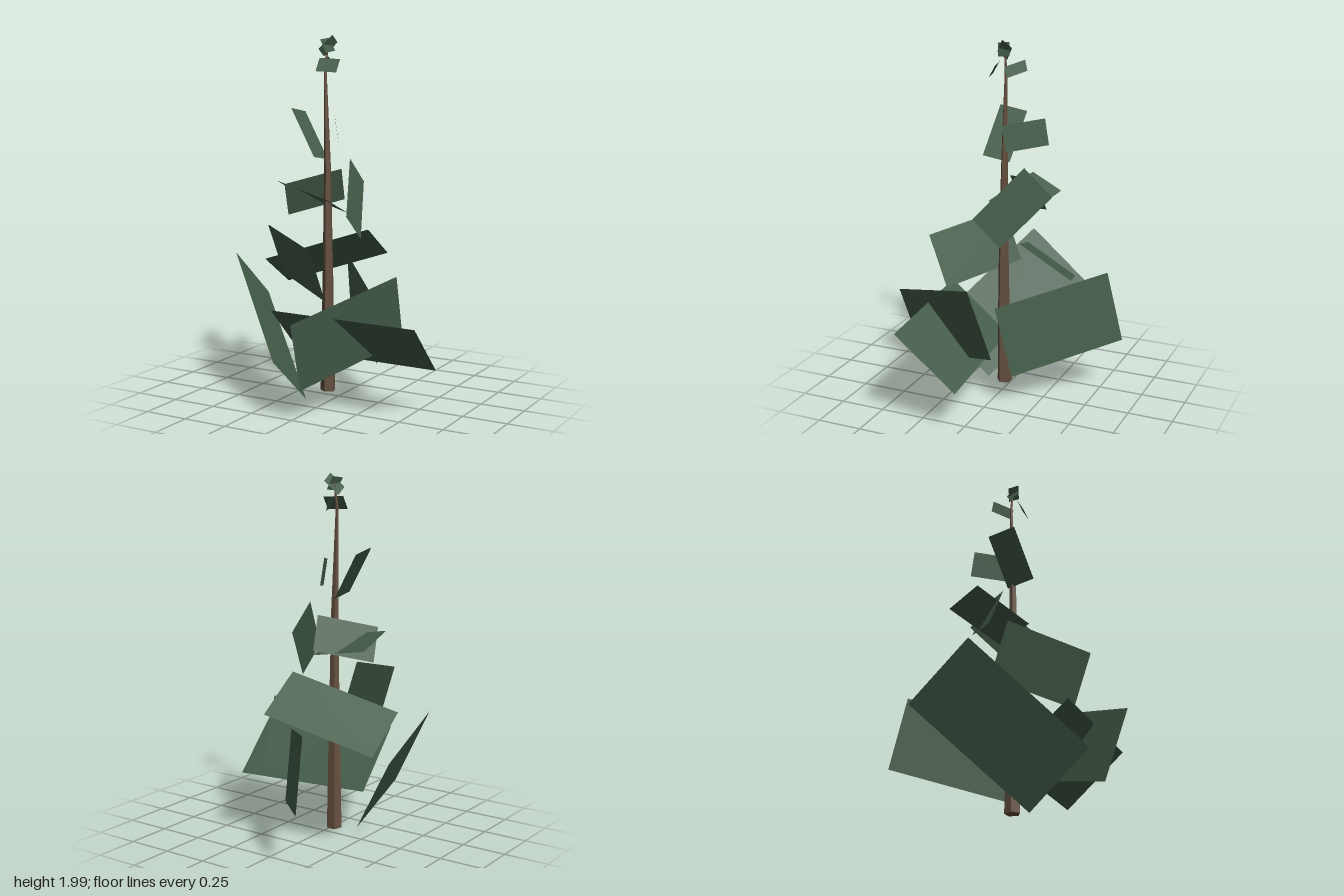
import * as THREE from 'three';

// Each leaf card is three consecutive corners of a rectangle; the fourth follows.
const tiers = {
  lowerFoliage: [
    [[-0.63, 0.78, 0.07], [-0.125, 0.30, 0.48], [-0.125, 0.01, 0.143]],
    [[-0.188, 0.555, 0.397], [0.628, 0.535, 0.343], [0.597, 0.24, 0.01]],
    [[0.375, 0.73, 0.04], [0.066, 0.55, 0.614], [0.043, 0.17, 0.485]],
    [[-0.24, 0.714, -0.53], [0.195, 0.58, -0.04], [0.173, 0.185, -0.13]],
  ],
  middleFoliage: [
    [[-0.362, 0.97, 0.147], [0.062, 0.90, 0.418], [0.087, 0.613, 0.30]],
    [[0.105, 0.937, -0.145], [0.08, 0.76, -0.434], [-0.48, 0.575, -0.253]],
  ],
  upperFoliage: [
    [[-0.405, 1.195, -0.012], [-0.015, 1.116, 0.09], [0.005, 1.03, -0.092]],
    [[-0.295, 1.19, 0.082], [-0.315, 1.01, 0.01], [-0.087, 1.085, -0.224]],
    [[0, 1.328, -0.127], [0, 1.185, -0.29], [0.117, 0.90, -0.037]],
  ],
  highFoliage: [
    [[-0.23, 1.61, 0.112], [-0.235, 1.585, -0.045], [-0.073, 1.33, -0.01]],
    [[-0.135, 1.577, -0.19], [-0.128, 1.434, -0.217], [-0.008, 1.40, -0.017]],
  ],
  crownFoliage: [
    [[-0.087, 1.878, 0.053], [0.026, 1.872, 0.03], [0.024, 1.802, 0.07]],
    [[-0.118, 1.888, -0.08], [-0.113, 1.83, -0.095], [-0.023, 1.80, -0.015]],
    [[-0.03, 2.0, 0.015], [-0.03, 1.96, -0.042], [-0.085, 1.885, 0.01]],
    [[-0.08, 1.975, 0.06], [-0.065, 1.985, -0.012], [-0.035, 1.915, -0.025]],
  ],
};

function leafCard(corners, material) {
  const [a, b, c] = corners.map((p) => new THREE.Vector3(...p));
  const d = a.clone().add(c).sub(b);
  const geometry = new THREE.BufferGeometry().setFromPoints([a, b, c, a, c, d]);
  geometry.computeVertexNormals();
  const mesh = new THREE.Mesh(geometry, material);
  mesh.name = 'leafCard';
  return mesh;
}

// Faceted five-sided trunk following slightly bent rings: [x, y, z, radius]
function trunkGeometry() {
  const rings = [
    [-0.06, 0.04, 0.013, 0.043],
    [-0.056, 0.67, 0.018, 0.031],
    [-0.06, 1.28, 0.015, 0.02],
    [-0.076, 1.82, 0.012, 0.008],
    [-0.06, 1.94, 0.012, 0.005],
  ];
  const bent = new THREE.CylinderGeometry(1, 1, 1, 5, rings.length - 1);
  const pos = bent.attributes.position;
  for (let i = 0; i < pos.count; i++) {
    const level = Math.round((pos.getY(i) + 0.5) * (rings.length - 1));
    const [x, y, z, r] = rings[level];
    pos.setXYZ(i, x + pos.getX(i) * r, y, z + pos.getZ(i) * r);
  }
  const geometry = bent.toNonIndexed();
  geometry.computeVertexNormals();
  return geometry;
}

export function createModel() {
  const bark = new THREE.MeshStandardMaterial({ color: 0x665040 });
  bark.name = 'bark brown';
  const needles = new THREE.MeshStandardMaterial({ color: 0x455e4a, side: THREE.DoubleSide });
  needles.name = 'needle green';

  const tree = new THREE.Group();
  tree.name = 'tree';

  const trunk = new THREE.Mesh(trunkGeometry(), bark);
  trunk.name = 'trunk';
  tree.add(trunk);

  // Foliage tiers, bottom to top
  for (const [name, cards] of Object.entries(tiers)) {
    const tier = new THREE.Group();
    tier.name = name;
    cards.forEach((corners) => tier.add(leafCard(corners, needles)));
    tree.add(tier);
  }
  return tree;
}
